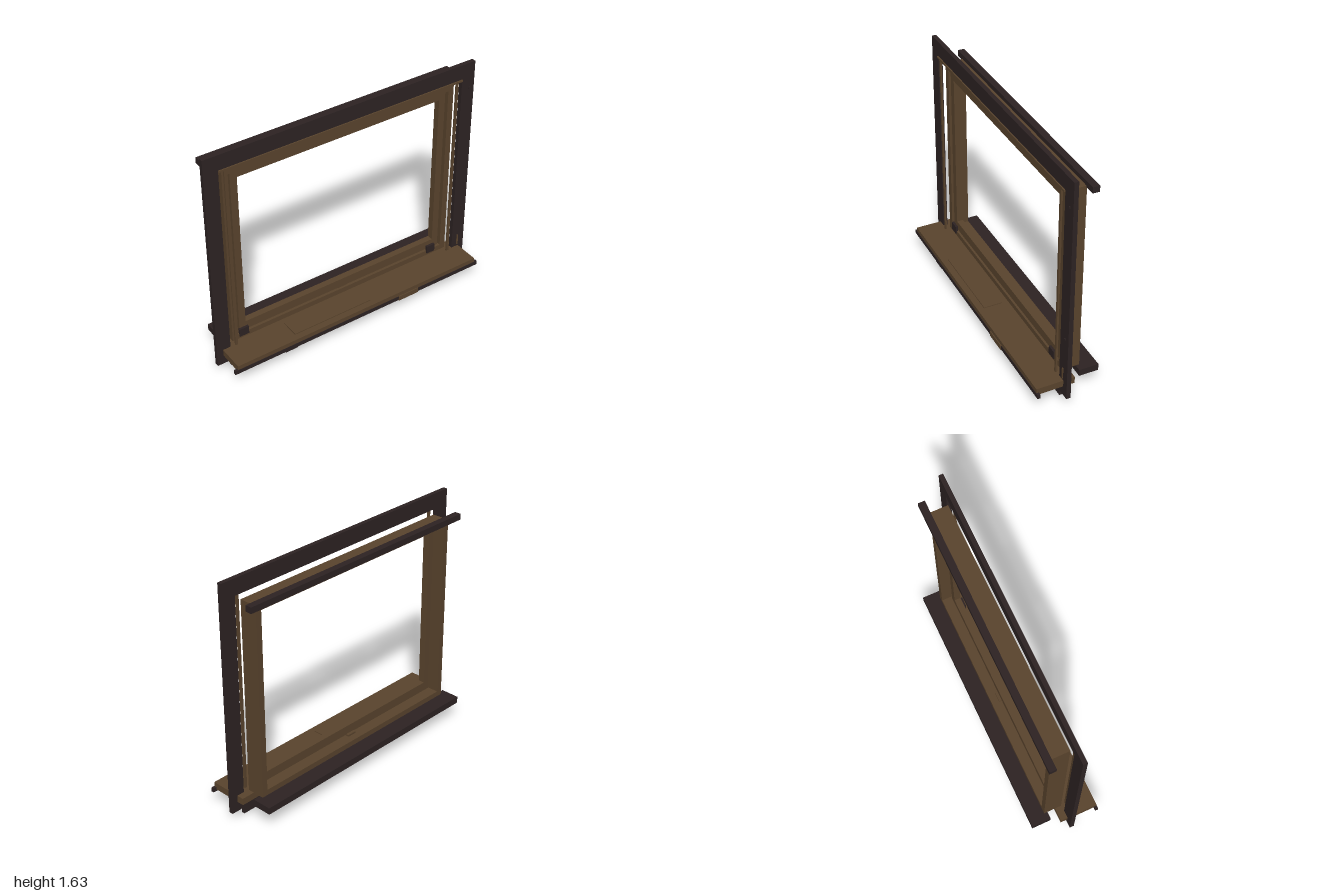
import * as THREE from 'three';

export function createModel() {
  const model = new THREE.Group();
  model.name = 'windowFrame';
  const wood = new THREE.MeshStandardMaterial({ name: 'brown wood', color: 0x5a442d });
  const dark = new THREE.MeshStandardMaterial({ name: 'dark wood', color: 0x2d2323 });

  // Box given by its extents on each axis
  function box(name, mat, [x0, x1], [y0, y1], [z0, z1], parent = model) {
    const mesh = new THREE.Mesh(new THREE.BoxGeometry(x1 - x0, y1 - y0, z1 - z0), mat);
    mesh.position.set((x0 + x1) / 2, (y0 + y1) / 2, (z0 + z1) / 2);
    mesh.name = name;
    parent.add(mesh);
  }

  // The same box on the left and the right
  function pair(name, mat, [x0, x1], y, z, parent = model) {
    box(name + 'Left', mat, [x0, x1], y, z, parent);
    box(name + 'Right', mat, [-x1, -x0], y, z, parent);
  }

  // Four-sided frame with its own rail heights
  function frame(name, mat, outer, inner, [y0, y1], bottom, top, z) {
    const group = new THREE.Group();
    group.name = name;
    pair('stile', mat, [inner, outer], [y0, y1], z, group);
    box('bottomRail', mat, [-inner, inner], [y0, y0 + bottom], z, group);
    box('topRail', mat, [-inner, inner], [y1 - top, y1], z, group);
    model.add(group);
  }

  // Interior casing and apron
  pair('sideCasing', dark, [0.9, 1], [0.05, 1.635], [0.01, 0.04]);
  box('headCasing', dark, [-0.9, 0.9], [1.525, 1.635], [0.01, 0.04]);
  box('apron', dark, [-0.9, 0.9], [0, 0.092], [0.013, 0.035]);

  // Jamb box and the sash hanging inside it
  frame('jambFrame', wood, 0.862, 0.82, [0.165, 1.492], 0.038, 0.04, [-0.12, 0.005]);
  frame('sash', wood, 0.803, 0.755, [0.212, 1.452], 0.063, 0.05, [-0.05, -0.005]);

  // Slim stops on the room side
  pair('sideStop', wood, [0.848, 0.866], [0.165, 1.53], [0.036, 0.048]);
  box('headStop', wood, [-0.9, 0.9], [1.517, 1.53], [0.036, 0.048]);

  // Interior stool with its dark nosing and shallow panel
  box('stool', wood, [-0.955, 0.955], [0.118, 0.165], [-0.04, 0.225]);
  box('stoolNosing', dark, [-0.978, 0.978], [0.105, 0.134], [0.208, 0.228]);
  box('stoolPanel', wood, [-0.5, 0.1], [0.165, 0.171], [0.05, 0.18]);
  box('nosingPatch', wood, [0.3, 0.46], [0.1, 0.136], [0.206, 0.231]);
  box('nosingChip', dark, [-0.6, -0.51], [0.099, 0.105], [0.21, 0.228]);

  // Exterior sill and drip cap
  box('outerSill', dark, [-0.912, 0.912], [0.118, 0.165], [-0.23, -0.095]);
  box('dripCap', dark, [-0.935, 0.935], [1.482, 1.523], [-0.163, -0.117]);

  // Hardware
  box('cornerBlockRight', dark, [-0.812, -0.742], [0.182, 0.24], [-0.005, 0.012]);
  box('cornerBlockLeft', dark, [0.702, 0.768], [0.182, 0.24], [-0.005, 0.012]);
  box('latch', wood, [-0.035, 0.035], [0.2, 0.216], [-0.07, -0.01]);
  box('catch', wood, [0.94, 0.95], [0.18, 0.26], [0.038, 0.046]);
  for (const y of [0.5, 1.45]) box('casingPin', dark, [0.955, 0.967], [y - 0.006, y + 0.006], [0.038, 0.046]);

  return model;
}
